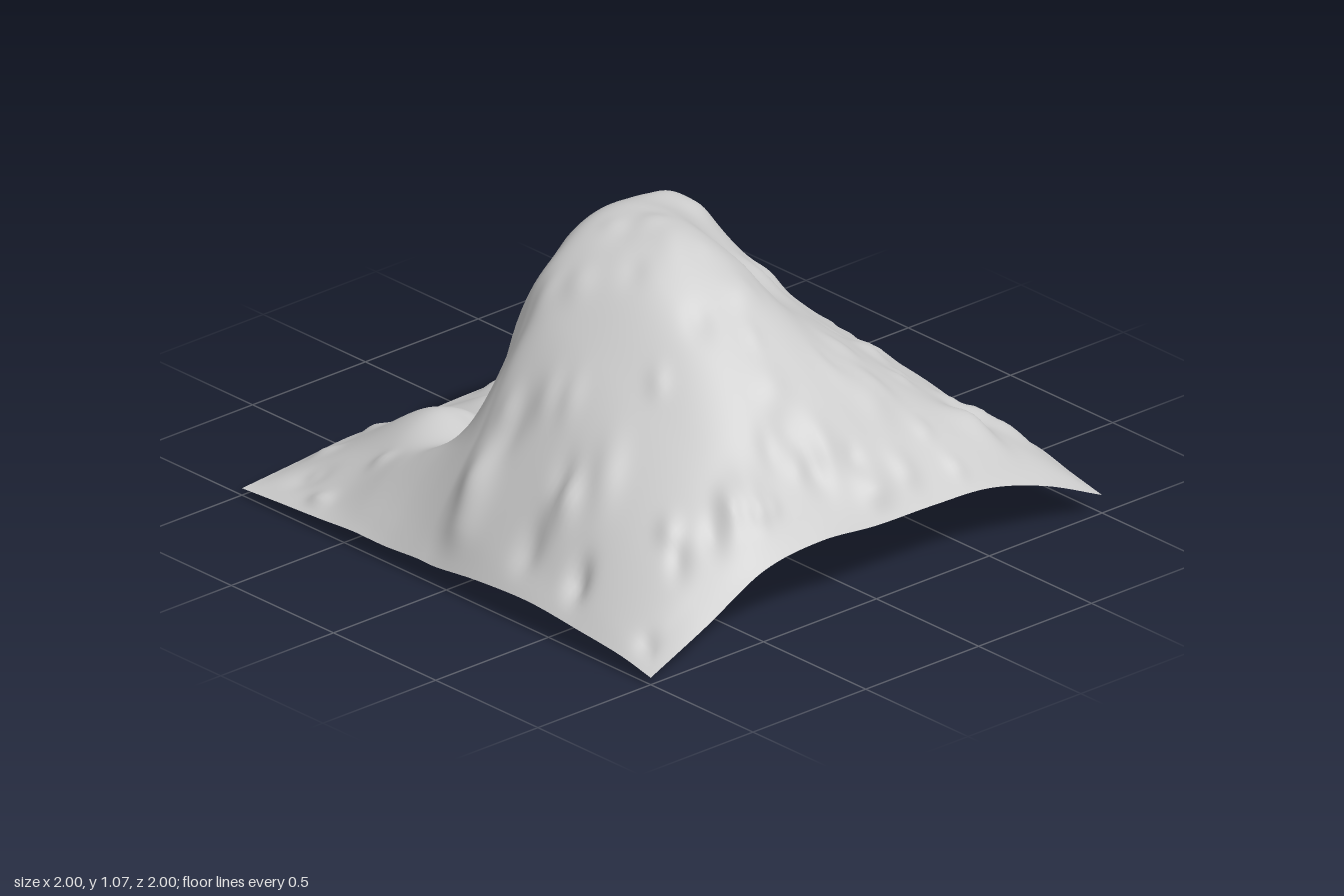
import * as THREE from 'three';

// Cross-section heights, front row to back row, at nine evenly spaced x stations
const HEIGHTS = [
  [.03, .14, .26, .29, .27, .265, .25, .18, .07],
  [.06, .25, .38, .44, .45, .43, .38, .27, .10],
  [.08, .34, .52, .65, .67, .60, .47, .33, .14],
  [.10, .41, .66, .85, .87, .71, .53, .36, .115],
  [.09, .46, .77, 1.0, 1.02, .77, .58, .38, .08],
  [.07, .47, .83, 1.03, 1.05, .91, .65, .39, .065],
  [.07, .43, .80, .98, 1.0, .96, .67, .39, .08],
  [.065, .39, .64, .77, .77, .75, .57, .37, .09],
  [.06, .35, .46, .56, .56, .54, .46, .35, .09],
  [.06, .31, .34, .34, .36, .35, .33, .32, .085],
  [.06, .26, .25, .15, .17, .17, .21, .28, .075],
  [.05, .19, .30, .19, .18, .19, .22, .25, .06],
  [.04, .13, .18, .14, .13, .13, .15, .16, .04],
  [.03, .05, .07, .055, .06, .06, .03, .02, .005],
];
// Depth of each row on the plain slopes and where the cliff bulges over the hollow
const SLOPE_Z = [1, .85, .65, .4, .15, -.05, -.14, -.22, -.3, -.38, -.47, -.62, -.82, -1];
const CLIFF_Z = [1, .85, .65, .4, .15, -.1, -.27, -.41, -.46, -.35, -.41, -.62, -.82, -1];
// How strongly the cliff bulges, and how far it sits forward, at each x station
const BULGE = [0, 0, .65, 1, 1, 1, .85, 0, 0];
const SETBACK = [0, .03, .13, .1, .01, 0, .06, .04, 0];

// Smooth interpolation through a list of values at a fractional index
function spline(a, t) {
  const n = a.length - 1;
  const i = Math.min(Math.floor(t), n - 1), f = t - i;
  const p1 = a[i], p2 = a[i + 1];
  const p0 = i > 0 ? a[i - 1] : 2 * p1 - p2;
  const p3 = i + 2 <= n ? a[i + 2] : 2 * p2 - p1;
  return p1 + .5 * f * (p2 - p0 + f * (2 * p0 - 5 * p1 + 4 * p2 - p3 + f * (3 * (p1 - p2) + p3 - p0)));
}

function seeded(seed) {
  return () => (seed = (seed * 16807) % 2147483647) / 2147483647;
}

// Small knobs and pits scattered over the ground, stronger towards the foot
function makeBumps() {
  const rand = seeded(77);
  const bumps = [];
  for (let i = 0; i < 120; i++) {
    const x = rand() * 1.9 - .95, z = rand() * 1.9 - .95;
    const r = .025 + .035 * rand();
    const outer = Math.min(1, Math.hypot(x, z));
    bumps.push({
      x, z, r, h: r * (.1 + .3 * outer) * (rand() < .3 ? -1 : 1),
      stretch: 1 + .7 * rand(), angle: Math.atan2(z, x),
    });
  }
  return bumps;
}

function createTerrain() {
  const geo = new THREE.PlaneGeometry(2, 2, 128, 150);
  const pos = geo.attributes.position, uv = geo.attributes.uv;

  // Base form lofted through the cross-sections
  for (let i = 0; i < pos.count; i++) {
    const sx = uv.getX(i) * 8, sz = uv.getY(i) * 13;
    const y = spline(HEIGHTS.map((row) => spline(row, sx)), sz);
    const w = THREE.MathUtils.clamp(spline(BULGE, sx), 0, 1);
    const forward = spline(SETBACK, sx) * Math.exp(-(((sz - 8) / 2.2) ** 2));
    const z = spline(SLOPE_Z, sz) * (1 - w) + spline(CLIFF_Z, sz) * w + forward;
    pos.setXYZ(i, uv.getX(i) * 2 - 1, y, z);
  }
  geo.computeVertexNormals();

  // Surface detail along the normals, fading out at the border
  const bumps = makeBumps(), normal = geo.attributes.normal;
  for (let i = 0; i < pos.count; i++) {
    const x = pos.getX(i), y = pos.getY(i), z = pos.getZ(i);
    let d = .006 * Math.sin(9 * x + 3 * z) * Math.sin(8 * z - 4 * x + 6 * y);
    for (const b of bumps) {
      const dx = x - b.x, dz = z - b.z, c = Math.cos(b.angle), s = Math.sin(b.angle);
      const along = (dx * c + dz * s) / (b.r * b.stretch), across = (dz * c - dx * s) / b.r;
      d += b.h * Math.exp(-along * along - across * across);
    }
    const edge = Math.min(1 - Math.abs(x), 1 - Math.abs(z));
    d *= THREE.MathUtils.smoothstep(edge, 0, .08);
    pos.setXYZ(i, x + normal.getX(i) * d, y + normal.getY(i) * d, z + normal.getZ(i) * d);
  }
  geo.computeVertexNormals();

  // Stand on the ground
  geo.computeBoundingBox();
  geo.translate(0, -geo.boundingBox.min.y, 0);
  return geo;
}

export function createModel() {
  const group = new THREE.Group();
  group.name = 'terrain';
  const hill = new THREE.Mesh(
    createTerrain(),
    new THREE.MeshStandardMaterial({ color: 0xcccccc, side: THREE.DoubleSide }),
  );
  hill.name = 'overhangingHill';
  group.add(hill);
  return group;
}
